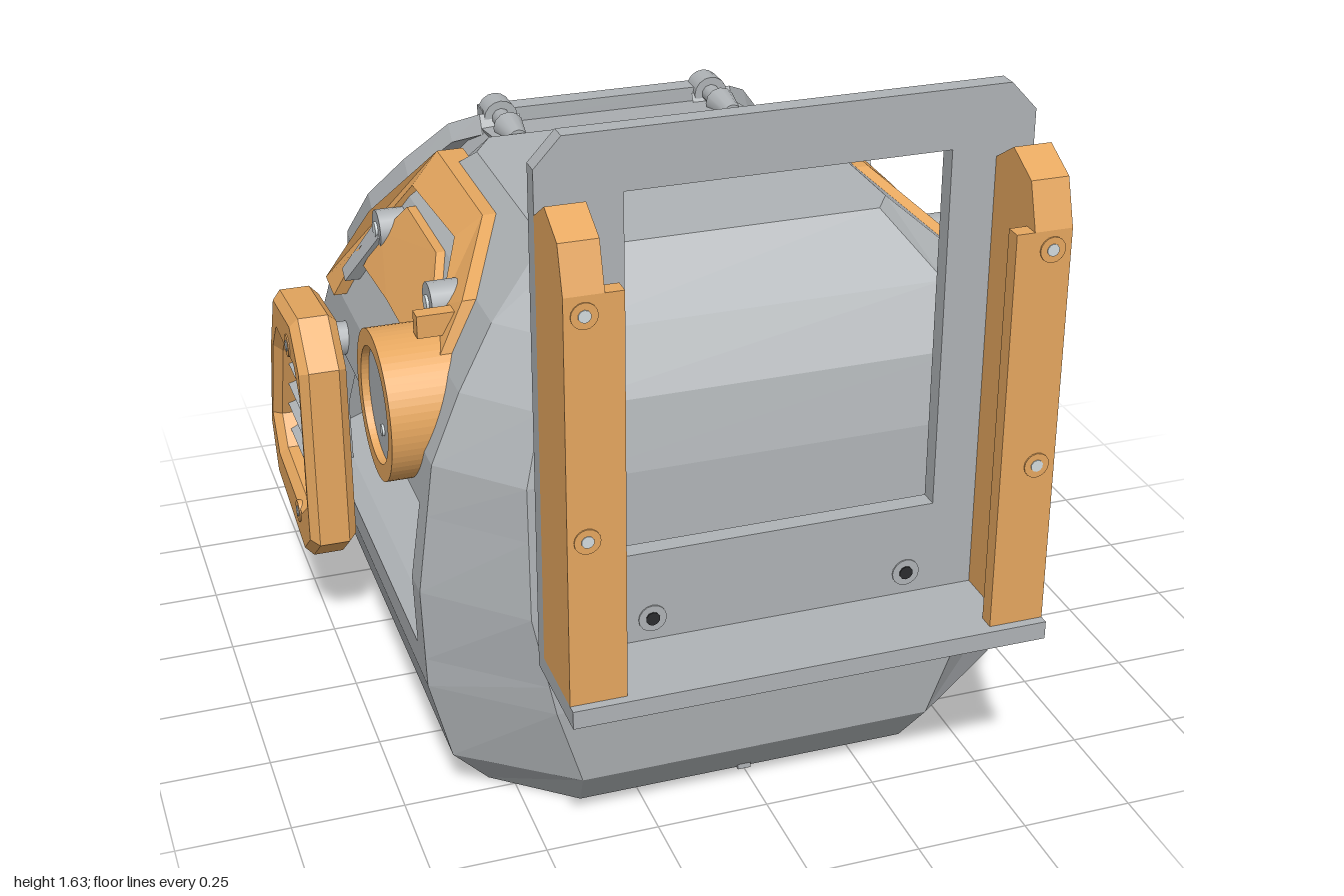
import * as THREE from 'three';

const mat = (name, color) => Object.assign(new THREE.MeshStandardMaterial({ color }), { name });

export function createModel() {
  const grey = mat('shell grey', 0xafb3b6);
  const orange = mat('trim orange', 0xe6a75f);
  const glass = mat('visor pale grey', 0xd3dbde);
  const dark = mat('dark rubber', 0x2b2c2e);
  const root = new THREE.Group();

  const add = (name, geo, material, parent = root, x = 0, y = 0, z = 0) => {
    const m = new THREE.Mesh(geo, material);
    m.name = name;
    m.position.set(x, y, z);
    parent.add(m);
    return m;
  };
  const box = (name, m, p, w, h, d, x, y, z) => add(name, new THREE.BoxGeometry(w, h, d), m, p, x, y, z);
  // Round rod between two points
  const rod = (name, m, p, a, b, r, sides = 6, r2 = r) => {
    const A = new THREE.Vector3(...a), B = new THREE.Vector3(...b), d = B.clone().sub(A);
    const mesh = add(name, new THREE.CylinderGeometry(r2, r, d.length(), sides), m, p);
    mesh.position.copy(A).add(B).multiplyScalar(0.5);
    mesh.quaternion.setFromUnitVectors(new THREE.Vector3(0, 1, 0), d.normalize());
  };
  // Flat-faced surface through rows of points
  const loft = (rows, skip = () => false, flip = false) => {
    const v = [];
    for (let i = 0; i < rows.length - 1; i++) for (let j = 0; j < rows[i].length - 1; j++) {
      if (skip(i, j)) continue;
      const [a, b, c, d] = [rows[i][j], rows[i][j + 1], rows[i + 1][j + 1], rows[i + 1][j]];
      v.push(...(flip ? [a, c, b, a, d, c] : [a, b, c, a, c, d]).flat());
    }
    const g = new THREE.BufferGeometry();
    g.setAttribute('position', new THREE.Float32BufferAttribute(v, 3));
    g.computeVertexNormals();
    return g;
  };
  // Rectangular strip along a path lying mostly in the y-z plane
  const strip = (path, hw, hn) => {
    const rows = path.map(([x, y, z], i) => {
      const p = path[Math.max(0, i - 1)], q = path[Math.min(path.length - 1, i + 1)];
      const ty = q[1] - p[1], tz = q[2] - p[2], l = Math.hypot(ty, tz);
      return [[-1, 1], [1, 1], [1, -1], [-1, -1], [-1, 1]].map(([a, b]) =>
        [x + a * hw, y - b * hn * tz / l, z + b * hn * ty / l]);
    });
    const end = p => Array(5).fill(p);
    return loft([end(path[0]), ...rows, end(path[path.length - 1])]);
  };
  const shapeOf = (pts, hole) => {
    const s = new THREE.Shape(pts.map(p => new THREE.Vector2(...p)));
    if (hole) s.holes.push(new THREE.Path(hole.map(p => new THREE.Vector2(...p))));
    return s;
  };
  const roundHole = (s, x, y, r) => s.holes.push(new THREE.Path().absarc(x, y, r, 0, Math.PI * 2, true));
  const slab = (shape, depth, bevel = 0) => new THREE.ExtrudeGeometry(shape, {
    depth: depth - 2 * bevel, bevelEnabled: bevel > 0, bevelSize: bevel, bevelThickness: bevel,
    bevelOffset: -bevel, bevelSegments: 1, curveSegments: 16 }).translate(0, 0, bevel);

  // Shell sections: y, side x, front z, front corner x, front corner z, back z, back corner x, back corner z
  const table = [
    [0, 0.55, 0.60, 0.38, 0.46, -0.69, 0.36, -0.53],
    [0.115, 0.64, 0.69, 0.40, 0.51, -0.81, 0.40, -0.63],
    [0.31, 0.69, 0.71, 0.46, 0.52, -0.855, 0.40, -0.67],
    [0.55, 0.70, 0.71, 0.51, 0.53, -0.80, 0.43, -0.63],
    [0.85, 0.665, 0.70, 0.51, 0.54, -0.62, 0.42, -0.46],
    [1.0, 0.60, 0.67, 0.47, 0.53, -0.48, 0.40, -0.33],
    [1.13, 0.52, 0.60, 0.43, 0.50, -0.36, 0.37, -0.24],
    [1.25, 0.38, 0.46, 0.34, 0.40, -0.21, 0.33, -0.13]];
  const section = y => {
    let i = 0;
    while (i < table.length - 2 && y > table[i + 1][0]) i++;
    const t = (y - table[i][0]) / (table[i + 1][0] - table[i][0]);
    return table[i].map((a, k) => a + (table[i + 1][k] - a) * t);
  };
  const ring = (y, s, sy) => {
    const [, X, zF, xF, cF, zB, xB, cB] = section(y);
    const side = (sx, ts) => ts.map(t => [sx * X, cF + (cB - cF) * t]);
    const pts = [[xF, zF], ...side(1, [0, 0.65, 0.93, 1]), [xB, zB], [-xB, zB],
      ...side(-1, [1, 0.83, 0.06, 0]), [-xF, zF], [xF, zF]];
    return pts.map(([x, z]) => [x * s, y * sy, z * s]);
  };
  const ys = [0, 0.115, 0.31, 0.38, 0.55, 0.73, 0.85, 1.0, 1.13, 1.25];
  const outer = ys.map(y => ring(y, 1, 1)), inner = ys.map(y => ring(y, 0.93, 0.97));
  const opening = (i, j) => (i === 3 || i === 4) && (j === 2 || j === 8);
  const capTo = (r, y) => [r, r.map(() => [0, y, 0.12])];
  const shell = new THREE.Group();
  shell.name = 'shell';
  root.add(shell);
  add('outerShell', loft(outer, opening), grey, shell);
  add('innerShell', loft(inner.slice(3), (i, j) => opening(i + 3, j), true), grey, shell);
  add('crown', loft(capTo(outer[9], 1.25)), grey, shell);
  add('innerCrown', loft(capTo(inner[9], 1.2125), undefined, true), grey, shell);
  add('innerFloor', loft(capTo(inner[3], inner[3][0][1])), grey, shell);
  for (const c of [2, 8]) {
    const loop = g => [[3, c], [3, c + 1], [4, c + 1], [5, c + 1], [5, c], [4, c], [3, c]].map(([i, j]) => g[i][j]);
    add('openingWall', loft([loop(outer), loop(inner)]), grey, shell);
  }
  // Base with a rounded recess underneath
  const base = shapeOf(outer[0].slice(0, -1).map(([x, , z]) => [x, -z]));
  const recess = new THREE.Path(), [rx, z0, z1, rr] = [0.46, -0.46, 0.54, 0.12];
  recess.absarc(rx - rr, z1 - rr, rr, 0, Math.PI / 2);
  recess.absarc(rr - rx, z1 - rr, rr, Math.PI / 2, Math.PI);
  recess.absarc(rr - rx, z0 + rr, rr, Math.PI, Math.PI * 1.5);
  recess.absarc(rx - rr, z0 + rr, rr, Math.PI * 1.5, Math.PI * 2);
  base.holes.push(recess);
  add('base', slab(base, 0.355).rotateX(-Math.PI / 2), grey, shell);
  box('recessRoof', grey, shell, 0.96, 0.01, 1.04, 0, 0.358, -0.04);
  // Small tabs under the rim
  for (const s of [-1, 1]) box('sideTab', grey, shell, 0.1, 0.055, 0.03, s * 0.55, 0.0275, -0.03);
  box('frontTab', grey, shell, 0.03, 0.02, 0.1, 0, 0.01, 0.56);
  box('backTab', grey, shell, 0.03, 0.02, 0.1, 0, 0.01, -0.64);

  // Visor: y, centre z, inner half width, outer half width, edge set-back
  const visorRows = [[0.36, -0.80, 0.28, 0.36, 0.03], [0.43, -0.93, 0.31, 0.39, 0.05], [0.52, -0.915, 0.36, 0.47, 0.07],
    [0.80, -0.78, 0.40, 0.49, 0.07], [1.0, -0.625, 0.36, 0.44, 0.05], [1.21, -0.42, 0.26, 0.31, 0.02],
    [1.235, -0.24, 0.26, 0.31, 0.01]].map(([y, z, a, b, d]) =>
    [[b - 0.02, z + 0.32], [b, z + d], [a, z], [-a, z], [-b, z + d], [0.02 - b, z + 0.32]].map(([x, zz]) => [x, y, zz]));
  const isGlass = (i, j) => i > 0 && i < 5 && j > 0 && j < 4;
  add('visor', loft(visorRows, (i, j) => !isGlass(i, j)), glass);
  add('visorSurround', loft(visorRows, isGlass), grey);

  // Top and bottom visor bars
  box('visorTopBar', grey, root, 0.6, 0.035, 0.05, 0, 1.232, -0.405);
  box('visorBottomBar', grey, root, 0.7, 0.035, 0.05, 0, 0.42, -0.955);

  // Rear camera plate and lens
  const octagon = (w, h, c) => [[-w + c, -h], [w - c, -h], [w, -h + c], [w, h - c], [w - c, h], [-w + c, h], [-w, h - c], [-w, -h + c]];
  const camShape = shapeOf(octagon(0.14, 0.12, 0.045));
  roundHole(camShape, 0, 0, 0.075);
  add('cameraPlate', slab(camShape, 0.05, 0.008), orange, root, 0, 0.265, -0.9);
  add('lensRing', new THREE.TorusGeometry(0.065, 0.014, 6, 24), grey, root, 0, 0.265, -0.875);
  rod('lens', glass, root, [0, 0.265, -0.83], [0, 0.265, -0.866], 0.055, 20);
  for (const s of [-1, 1]) {
    rod('cameraBolt', dark, root, [s * 0.108, 0.265, -0.89], [s * 0.108, 0.265, -0.902], 0.014, 10);
    // Speaker perforations
    for (let i = 0; i < 3; i++) for (let k = 0; k < 4; k++) {
      const y = 0.21 + k * 0.04, dot = add('speakerHole', new THREE.CircleGeometry(0.011, 10), dark, root,
        s * (0.2 + i * 0.045), y, section(y)[5] - 0.004);
      dot.rotation.y = Math.PI;
    }
  }

  // Front carrier: plate with window, ledge
  const plate = shapeOf([[-0.51, 0.5], [0.51, 0.5], [0.51, 1.57], [0.455, 1.63], [-0.455, 1.63], [-0.51, 1.57]],
    [[-0.335, 0.72], [-0.335, 1.505], [0.335, 1.505], [0.335, 0.72]]);
  add('carrierPlate', slab(plate, 0.04), grey, root, 0, 0, 0.76);
  box('carrierLedge', grey, root, 1.02, 0.04, 0.24, 0, 0.495, 0.88);

  // Side plates follow the slope of the shell; points are (-z, y)
  const drape = (pts, lift, depth) => {
    const g = slab(shapeOf(pts), depth).rotateY(Math.PI / 2), p = g.attributes.position;
    for (let i = 0; i < p.count; i++) p.setX(i, p.getX(i) + section(p.getY(i))[1] + lift);
    g.computeVertexNormals();
    return g;
  };

  const makeSide = () => {
    const g = new THREE.Group();
    g.name = 'sideParts';
    // Ear vent with slats and bolt holes
    const vent = shapeOf(
      [[0.23, 0.23], [0.57, 0.28], [0.63, 0.41], [0.55, 0.66], [0.46, 0.83], [0.23, 0.855], [0.13, 0.76], [0.13, 0.31]],
      [[0.25, 0.36], [0.18, 0.41], [0.18, 0.68], [0.22, 0.73], [0.42, 0.73], [0.48, 0.66], [0.56, 0.45], [0.51, 0.38]]);
    add('ventFrame', slab(vent, 0.11, 0.02).rotateY(Math.PI / 2), orange, g, 0.70);
    for (let i = 0; i < 5; i++) {
      const y = 0.42 + i * 0.066, end = 0.57 - Math.max(0, y - 0.48) * 0.42;
      const slat = box('ventSlat', grey, g, 0.06, 0.014, end - 0.17, 0.745, y, -(end + 0.17) / 2);
      slat.rotation.z = -0.35;
    }
    for (const [y, z] of [[0.77, -0.275], [0.325, -0.285]]) {
      rod('ventBolt', orange, g, [0.80, y, z], [0.813, y, z], 0.027, 16);
      rod('ventBoltCore', glass, g, [0.80, y, z], [0.815, y, z], 0.013, 10);
      rod('ventSpacer', grey, g, [0.62, y, z], [0.72, y, z], 0.04, 14);
    }
    // Brow trim and its inset panel
    add('browTrim', drape([[-0.43, 0.95], [-0.38, 1.13], [-0.16, 1.22], [0.24, 1.22], [0.32, 1.06], [0.41, 0.87], [0.31, 0.865],
      [0.26, 1.0], [0.2, 1.16], [-0.14, 1.17], [-0.30, 1.09], [-0.34, 0.95]], -0.03, 0.06), orange, g);
    add('browPanel', drape([[-0.25, 0.98], [0.0, 0.98], [0.22, 0.97], [0.21, 1.05], [0.15, 1.13], [-0.12, 1.13], [-0.21, 1.08]],
      -0.02, 0.04), orange, g);
    add('browArm', drape([[0.18, 1.05], [0.26, 0.92], [0.31, 0.93], [0.24, 1.08]], -0.01, 0.045), grey, g);
    for (const [y, z] of [[1.09, 0.28], [1.06, -0.21]]) {
      rod('browBolt', grey, g, [0.5, y, z], [0.6, y, z], 0.045, 16);
      rod('browBoltCap', glass, g, [0.59, y, z], [0.606, y, z], 0.018, 10);
    }
    box('browClip', orange, g, 0.11, 0.05, 0.035, 0.59, 1.08, 0.355);
    // Round ear cup
    const cup = new THREE.Shape().absarc(0, 0, 0.163, 0, Math.PI * 2, false);
    roundHole(cup, 0, 0, 0.126);
    const cupGeo = new THREE.ExtrudeGeometry(cup, { depth: 0.16, bevelEnabled: false, curveSegments: 32 });
    add('earCup', cupGeo.rotateY(Math.PI / 2), orange, g, 0.572, 0.892, 0.32);
    rod('earCupDisc', grey, g, [0.58, 0.892, 0.32], [0.715, 0.892, 0.32], 0.127, 32);
    rod('earCupPin', glass, g, [0.71, 0.83, 0.32], [0.72, 0.83, 0.32], 0.013, 10);
    // Double rail along the visor edge
    const path = [[0.28, 1.225, -0.36], [0.34, 1.19, -0.42], [0.43, 1.08, -0.51], [0.5, 0.96, -0.615], [0.53, 0.81, -0.755],
      [0.515, 0.53, -0.91], [0.38, 0.42, -0.945]];
    add('visorRail', strip(path, 0.03, 0.024), grey, g);
    add('visorRailInner', strip(path.map(([x, y, z]) => [x - 0.05, y, z - 0.005]), 0.016, 0.015), grey, g);
    // Toothed seal beside the visor
    for (let i = 0; i < 16; i++) {
      const t = i / 15;
      box('sealTooth', dark, g, 0.03, 0.012, 0.028, 0.482 - 0.02 * t, 0.78 - 0.26 * t, -0.665 - 0.13 * t);
    }
    // Hinge knobs
    rod('topKnob', grey, g, [0.26, 1.235, -0.425], [0.26, 1.235, -0.365], 0.04, 16);
    rod('topNeck', grey, g, [0.26, 1.235, -0.37], [0.26, 1.235, -0.295], 0.022, 10);
    rod('topPin', grey, g, [0.26, 1.235, -0.3], [0.26, 1.235, -0.215], 0.036, 12, 0.022);
    rod('bottomKnob', grey, g, [0.36, 0.42, -0.85], [0.36, 0.42, -1.0], 0.022, 10);
    rod('bottomPost', grey, g, [0.36, 0.38, -0.95], [0.36, 0.465, -0.95], 0.036, 12);
    // Carrier rail: web, flange and screws
    const web = shapeOf([[-0.98, 0.515], [-0.8, 0.515], [-0.8, 1.48], [-0.87, 1.525], [-0.95, 1.485], [-0.98, 1.39]]);
    add('carrierRail', slab(web, 0.08).rotateY(Math.PI / 2), orange, g, 0.43);
    box('carrierFlange', orange, g, 0.04, 0.875, 0.035, 0.412, 0.9525, 0.9625);
    for (const y of [0.88, 1.35]) {
      rod('railScrew', orange, g, [0.47, y, 0.96], [0.47, y, 0.983], 0.027, 16);
      rod('railScrewCore', glass, g, [0.47, y, 0.96], [0.47, y, 0.985], 0.013, 10);
      rod('railScrewEnd', dark, g, [0.47, y, 0.77], [0.47, y, 0.758], 0.012, 10);
    }
    rod('carrierStub', grey, g, [0.28, 0.565, 0.68], [0.28, 0.565, 0.77], 0.06, 20);
    rod('carrierScrew', grey, g, [0.28, 0.565, 0.79], [0.28, 0.565, 0.803], 0.03, 16);
    rod('carrierScrewCore', dark, g, [0.28, 0.565, 0.79], [0.28, 0.565, 0.806], 0.015, 10);
    return g;
  };
  const left = makeSide(), right = makeSide();
  right.scale.x = -1;
  root.add(left, right);
  return root;
}
